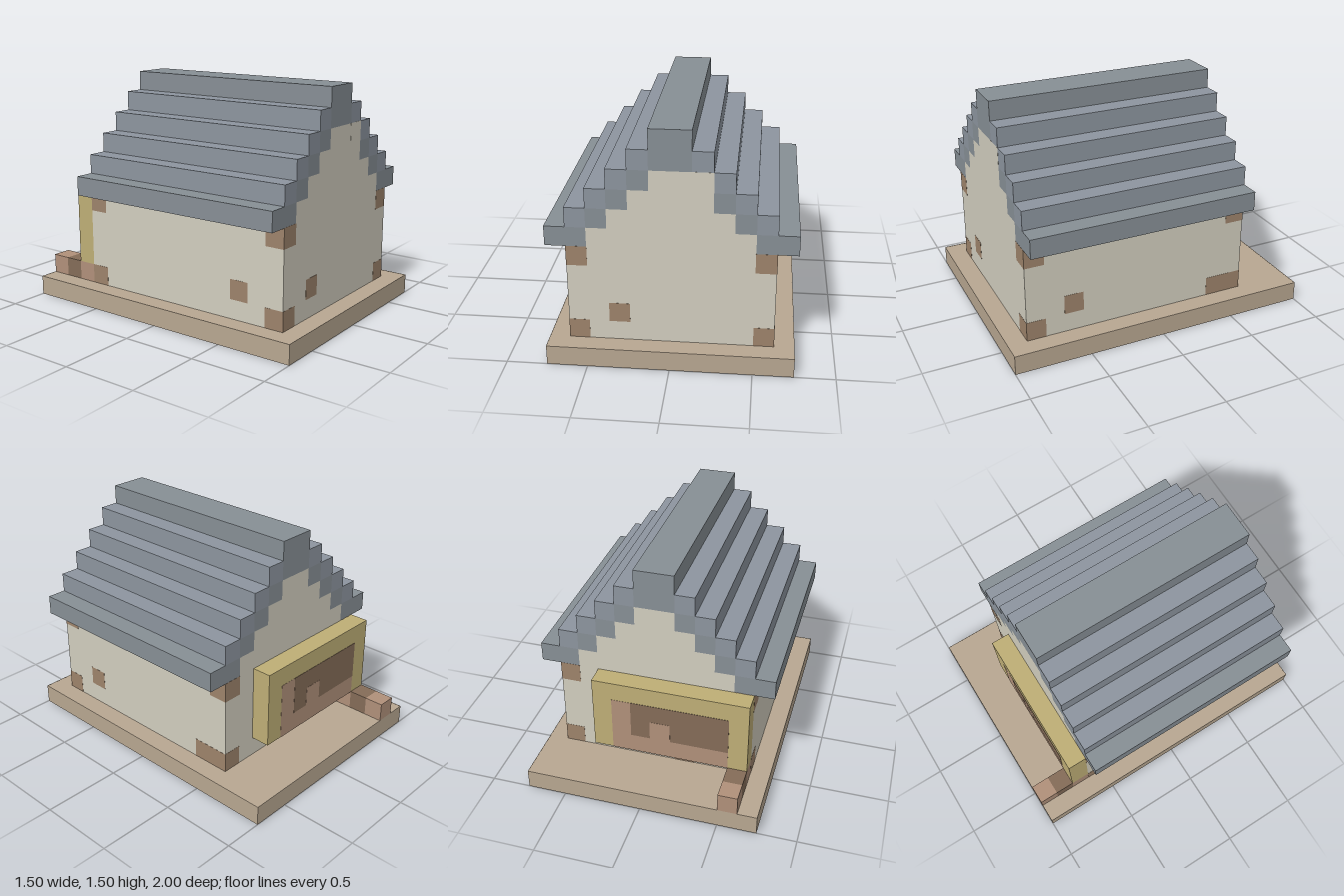
import * as THREE from 'three';

const U = 0.125; // one block
const T = 0.002; // thickness of thin panels

const mat = (color) => new THREE.MeshStandardMaterial({ color, flatShading: true, side: THREE.DoubleSide });
const slabMat = mat(0xb8a791);
const wallMat = mat(0xd2cebf);
const slateMat = mat(0x8d959f);
const mossMat = mat(0x878f95);
const timberMat = mat(0x9d836b);
const lightTimberMat = mat(0xb0907a);
const darkTimberMat = mat(0x846c58);
const strawMat = mat(0xbeae76);

export function createModel() {
  const house = new THREE.Group();
  house.name = 'house';

  // Box between two corners; t thickens it slightly for panels
  function box(name, material, x0, x1, y0, y1, z0, z1, t = 0) {
    const m = new THREE.Mesh(new THREE.BoxGeometry(x1 - x0 + t, y1 - y0 + t, z1 - z0 + t), material);
    m.position.set((x0 + x1) / 2, (y0 + y1) / 2, (z0 + z1) / 2);
    m.name = name;
    house.add(m);
  }

  // Foundation: a tray upside down, open underneath
  for (const s of [-0.749, 0.749]) box('foundationSide', slabMat, s, s, 0, U, -0.999, 0.999, T);
  for (const z of [-0.999, 0.999]) box('foundationSide', slabMat, -0.749, 0.749, 0, U, z, z, T);
  box('foundationTop', slabMat, -0.749, 0.749, U - T / 2, U - T / 2, -0.999, 0.999, T);

  // Underside of the walls, seen through the open foundation
  const yf = U - T;
  for (const s of [-1, 1]) {
    const x = s * 0.5625;
    box('wallFoot', wallMat, x - U / 2, x + U / 2, yf, yf, -0.625, 0.875, T);
    for (const z of [-0.625, 0.75]) box('cornerFoot', timberMat, x - U / 2, x + U / 2, yf - T, yf - T, z, z + U, T);
  }
  for (const z of [-0.625, 0.75]) box('wallFoot', wallMat, -0.5, 0.5, yf, yf, z, z + U, T);
  box('timberFoot', timberMat, -0.25, 0.125, yf - T, yf - T, -0.625, -0.5, T);

  // Side walls
  for (const s of [-0.624, 0.624]) box('sideWall', wallMat, s, s, U, 0.75, -0.624, 0.874, T);

  // Stepped gables at both ends
  const steps = [[0.625, U], [0.625, 0.75]];
  for (let i = 0; i < 4; i++) {
    const x = 0.5 - i * U;
    steps.push([x, 0.75 + i * U], [x, 0.875 + i * U]);
  }
  const outline = [...steps, ...steps.map(([x, y]) => [-x, y]).reverse()];
  const gable = new THREE.ShapeGeometry(new THREE.Shape(outline.map(([x, y]) => new THREE.Vector2(x, y))));
  for (const z of [-0.625, 0.875]) {
    const m = new THREE.Mesh(gable, wallMat);
    m.position.z = z;
    m.name = 'gableWall';
    house.add(m);
  }

  // Stepped roof: two blocks per course on each slope
  for (let i = 0; i < 5; i++) {
    const y = 0.75 + i * U;
    for (const s of [-1, 1]) {
      for (let k = 0; k < 2; k++) {
        const x = s * (0.6875 - (i + k) * U);
        box('roofCourse', i === 0 || k === 1 ? mossMat : slateMat, x - U / 2, x + U / 2, y, y + U, -0.625, 0.875);
      }
    }
  }
  box('roofRidge', mossMat, -U, U, 1.375, 1.5, -0.625, 0.875);

  // Timber patches set in the outer walls
  const endPatch = (x, y, z, m = timberMat) => box('wallPatch', m, x, x + U, y, y + U, z, z, T);
  const sidePatch = (s, y, z, len = U) =>
    box('wallPatch', timberMat, s * 0.625, s * 0.625, y, y + U, z, z + len, T);
  for (const y of [U, 0.625]) {
    for (const x of [-0.625, 0.5]) for (const z of [-0.625, 0.875]) endPatch(x, y, z);
    for (const s of [-1, 1]) {
      sidePatch(s, y, 0.75);
      sidePatch(s, y, -0.625, s > 0 && y === U ? 2 * U : U);
    }
  }
  endPatch(-0.375, 0.25, 0.875);
  endPatch(-0.25, U, -0.625);
  endPatch(0.125, 1.125, 0.875, wallMat);
  for (const s of [-1, 1]) sidePatch(s, 0.25, 0.5);

  // Framed board on the back wall, with an inlaid picture
  box('backBoard', strawMat, -0.625, 0.375, 0.25, 0.75, -0.75, -0.625);
  const zb = -0.75;
  box('boardInlay', lightTimberMat, -0.5, 0.25, 0.25, 0.625, zb, zb, T);
  box('boardDarkInlay', darkTimberMat, -0.5, 0.125, 0.375, 0.625, zb, zb, 2 * T);
  box('boardNotch', lightTimberMat, -0.125, 0, 0.375, 0.5, zb, zb, 3 * T);

  // Low row of timber blocks leading out from the back wall
  [[-1, lightTimberMat], [-0.875, darkTimberMat], [-0.75, lightTimberMat]].forEach(([z, m]) =>
    box('backTimber', m, -0.625, -0.5, U, 0.25, z, z + U));

  return house;
}
